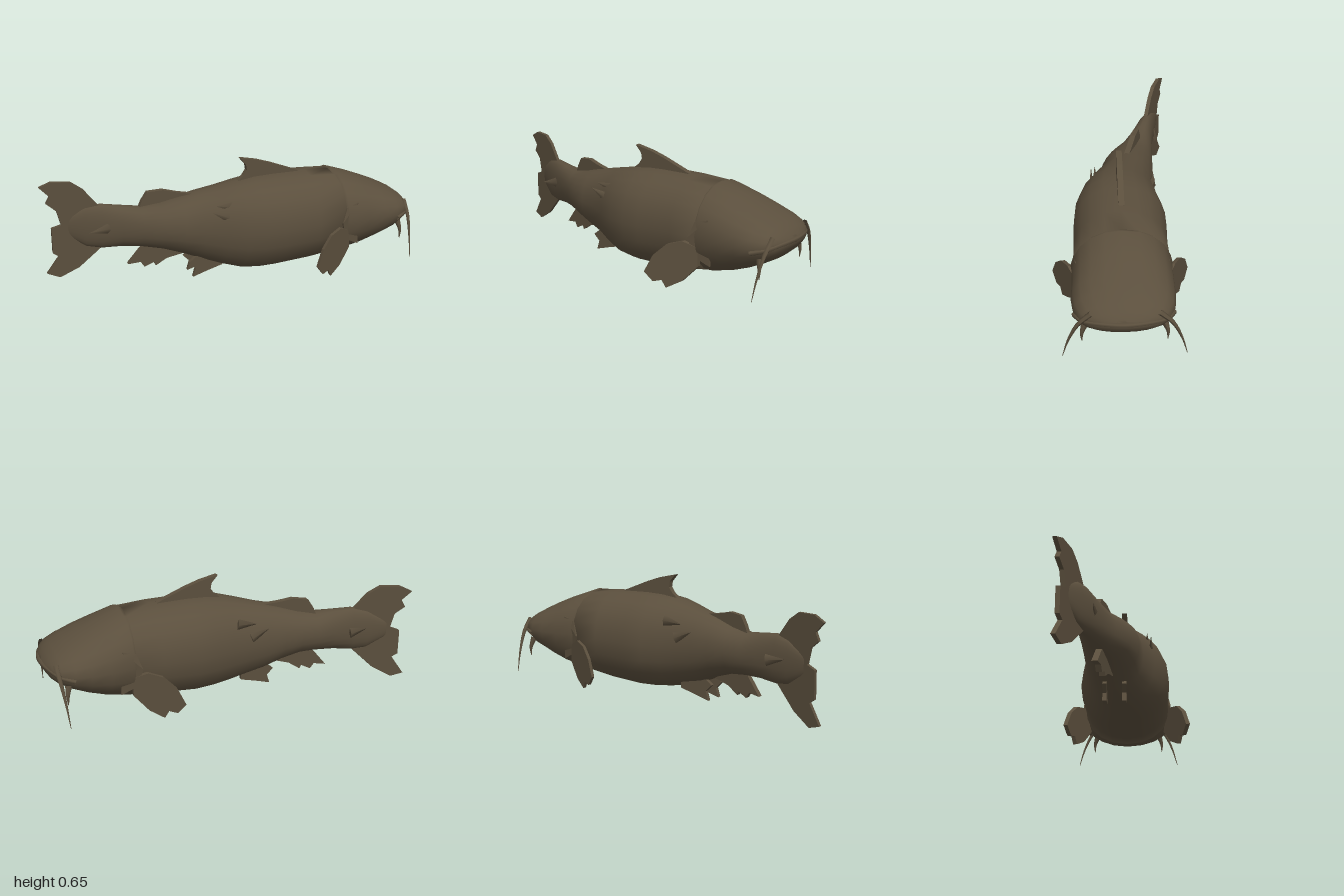
import * as THREE from 'three';

const skin = new THREE.MeshStandardMaterial({ color: 0x5b4f3d, side: THREE.DoubleSide });
skin.name = 'olive brown skin';

// Skin a row of rings: [x, bottom, top, zMin, zMax, squareness]
function loft(rows, sides) {
  const pos = [], index = [], n = rows.length;
  const pw = (v, e) => Math.sign(v) * Math.pow(Math.abs(v), e);
  for (const [x, b, t, z0, z1, k = 0.92] of rows) {
    for (let j = 0; j < sides; j++) {
      const a = (j / sides) * Math.PI * 2;
      pos.push(x, (b + t) / 2 + ((t - b) / 2) * pw(Math.cos(a), k),
        (z0 + z1) / 2 + ((z1 - z0) / 2) * pw(Math.sin(a), k));
    }
  }
  for (let i = 0; i < n - 1; i++) {
    for (let j = 0; j < sides; j++) {
      const a = i * sides + j, b = i * sides + (j + 1) % sides;
      index.push(a, b, a + sides, b, b + sides, a + sides);
    }
  }
  // End caps
  for (let j = 1; j < sides - 1; j++) {
    const e = (n - 1) * sides;
    index.push(0, j + 1, j, e, e + j, e + j + 1);
  }
  const g = new THREE.BufferGeometry();
  g.setAttribute('position', new THREE.Float32BufferAttribute(pos, 3));
  g.setIndex(index);
  g.computeVertexNormals();
  return g;
}

// Fin from a side outline, its plane set by z = zAt(x, y)
function fin(points, thick, zAt) {
  const shape = new THREE.Shape(points.map(([x, y]) => new THREE.Vector2(x, y)));
  const g = new THREE.ExtrudeGeometry(shape, { depth: thick, bevelEnabled: false });
  const p = g.attributes.position;
  for (let i = 0; i < p.count; i++) {
    p.setZ(i, p.getZ(i) - thick / 2 + zAt(p.getX(i), p.getY(i)));
  }
  g.computeVertexNormals();
  return g;
}

// Tapering whisker along a curve
function whisker(points, radius) {
  const curve = new THREE.CatmullRomCurve3(points.map((p) => new THREE.Vector3(...p)));
  const seg = 10, sides = 6;
  const g = new THREE.TubeGeometry(curve, seg, radius, sides, false);
  const p = g.attributes.position, v = new THREE.Vector3();
  for (let i = 0; i < p.count; i++) {
    const t = Math.floor(i / (sides + 1)) / seg, c = curve.getPointAt(t);
    v.fromBufferAttribute(p, i).sub(c).multiplyScalar(1 - 0.9 * t).add(c);
    p.setXYZ(i, v.x, v.y, v.z);
  }
  g.computeVertexNormals();
  return g;
}

export function createModel() {
  const model = new THREE.Group();
  model.name = 'catfish';
  const add = (name, geometry) => {
    const mesh = new THREE.Mesh(geometry, skin);
    mesh.name = name;
    model.add(mesh);
  };

  // Body, with the tail sweeping towards -z
  add('body', loft([
    [-0.88, 0.24, 0.34, -0.27, -0.25],
    [-0.78, 0.18, 0.40, -0.255, -0.18],
    [-0.70, 0.17, 0.42, -0.24, -0.14],
    [-0.60, 0.18, 0.41, -0.225, -0.09],
    [-0.50, 0.18, 0.40, -0.22, -0.03],
    [-0.40, 0.17, 0.42, -0.215, 0.04],
    [-0.30, 0.14, 0.45, -0.21, 0.08],
    [-0.20, 0.10, 0.475, -0.205, 0.10],
    [-0.10, 0.07, 0.50, -0.205, 0.16],
    [0.00, 0.045, 0.525, -0.215, 0.21],
    [0.10, 0.035, 0.54, -0.235, 0.235],
    [0.20, 0.035, 0.545, -0.25, 0.24],
    [0.40, 0.05, 0.545, -0.24, 0.24],
    [0.55, 0.075, 0.535, -0.245, 0.245],
  ], 20));

  // Broad head, a little proud of the body at the gill edge
  add('head', loft([
    [0.52, 0.08, 0.53, -0.22, 0.22],
    [0.56, 0.075, 0.54, -0.25, 0.25],
    [0.68, 0.105, 0.50, -0.25, 0.25],
    [0.78, 0.145, 0.46, -0.25, 0.255],
    [0.86, 0.185, 0.425, -0.24, 0.245],
    [0.92, 0.22, 0.395, -0.21, 0.215],
    [0.955, 0.25, 0.37, -0.165, 0.17],
    [0.975, 0.28, 0.345, -0.11, 0.115],
    [0.985, 0.30, 0.33, -0.06, 0.06],
  ], 20));

  // Lip round the mouth
  const lip = new THREE.CatmullRomCurve3([
    [0.86, 0.285, -0.235], [0.92, 0.30, -0.20], [0.96, 0.315, -0.13], [0.985, 0.322, 0],
    [0.96, 0.315, 0.135], [0.92, 0.30, 0.205], [0.86, 0.285, 0.24],
  ].map((p) => new THREE.Vector3(...p)));
  add('lip', new THREE.TubeGeometry(lip, 18, 0.013, 6, false));

  // Forked tail fin
  add('tailFin', fin([
    [-0.70, 0.40], [-0.78, 0.50], [-0.84, 0.54], [-0.94, 0.54], [-1.0, 0.51], [-0.95, 0.46],
    [-0.97, 0.42], [-0.92, 0.38], [-0.90, 0.30], [-0.95, 0.28], [-0.95, 0.14], [-0.92, 0.12],
    [-0.985, 0.02], [-0.92, 0.0], [-0.82, 0.06], [-0.70, 0.18],
  ], 0.022, (x) => -0.19 + (x + 0.7) * 0.37));

  // Fins along the back
  add('dorsalFin', fin([
    [-0.02, 0.50], [0.04, 0.55], [0.06, 0.58], [0.055, 0.61], [0.02, 0.65], [0.12, 0.63],
    [0.20, 0.605], [0.28, 0.575], [0.36, 0.545], [0.36, 0.50],
  ], 0.03, () => -0.005));
  add('rearDorsalFin', fin([
    [-0.51, 0.38], [-0.49, 0.43], [-0.46, 0.48], [-0.38, 0.49], [-0.31, 0.475], [-0.2, 0.46],
    [-0.2, 0.42],
  ], 0.03, (x) => -0.05 + (x + 0.2) * 0.28));

  // Fins along the belly
  add('analFin', fin([
    [-0.28, 0.18], [-0.48, 0.20], [-0.52, 0.15], [-0.575, 0.08], [-0.51, 0.09], [-0.49, 0.06],
    [-0.44, 0.085], [-0.43, 0.065], [-0.37, 0.105], [-0.28, 0.13],
  ], 0.03, (x) => -0.07 + (x + 0.28) * 0.22));
  for (const [side, offset] of [['left', 0], ['right', -0.1]]) {
    add(side + 'PelvicFin', fin([
      [-0.08, 0.13], [-0.2, 0.15], [-0.27, 0.095], [-0.235, 0.06], [-0.25, 0.01],
      [-0.17, 0.035], [-0.08, 0.06],
    ], 0.022, () => offset));
  }

  for (const s of [1, -1]) {
    const side = s > 0 ? 'left' : 'right';
    // Paddle fins flaring backwards
    add(side + 'PectoralFin', fin([
      [0.57, 0.25], [0.50, 0.28], [0.43, 0.26], [0.37, 0.20], [0.33, 0.11], [0.37, 0.06],
      [0.41, 0.07], [0.43, 0.03], [0.50, 0.07], [0.57, 0.15],
    ], 0.022, (x) => s * (0.225 + (0.57 - x) * 0.5)));
    // Long and short barbels
    add(side + 'Barbel', whisker([
      [0.94, 0.355, s * 0.16], [0.935, 0.29, s * 0.22], [0.925, 0.18, s * 0.27],
      [0.917, 0.07, s * 0.30],
    ], 0.014));
    add(side + 'ChinBarbel', whisker([
      [0.89, 0.25, s * 0.19], [0.90, 0.20, s * 0.205], [0.90, 0.15, s * 0.205],
    ], 0.018));
    // Gill flap
    add(side + 'GillFlap', fin([
      [0.62, 0.40], [0.55, 0.38], [0.52, 0.30], [0.55, 0.20], [0.63, 0.16],
    ], 0.012, (x, y) => s * (0.25 - Math.pow((y - 0.29) * 2.6, 2) * 0.3)));
  }

  // Loose folds of skin behind the dorsal fin
  [[-0.13, 0.39, 0.14], [-0.1, 0.43, 0.12], [-0.08, 0.42, -0.19], [-0.15, 0.36, -0.2],
    [-0.72, 0.3, -0.25], [-0.72, 0.29, -0.13]].forEach(([x, y, z], i) => {
    const fold = new THREE.ConeGeometry(0.03, 0.11, 4);
    fold.scale(1, 1, 0.4);
    fold.rotateZ(1.2 + 0.25 * (i % 3));
    fold.translate(x, y, z);
    add('skinFold' + (i + 1), fold);
  });

  return model;
}
